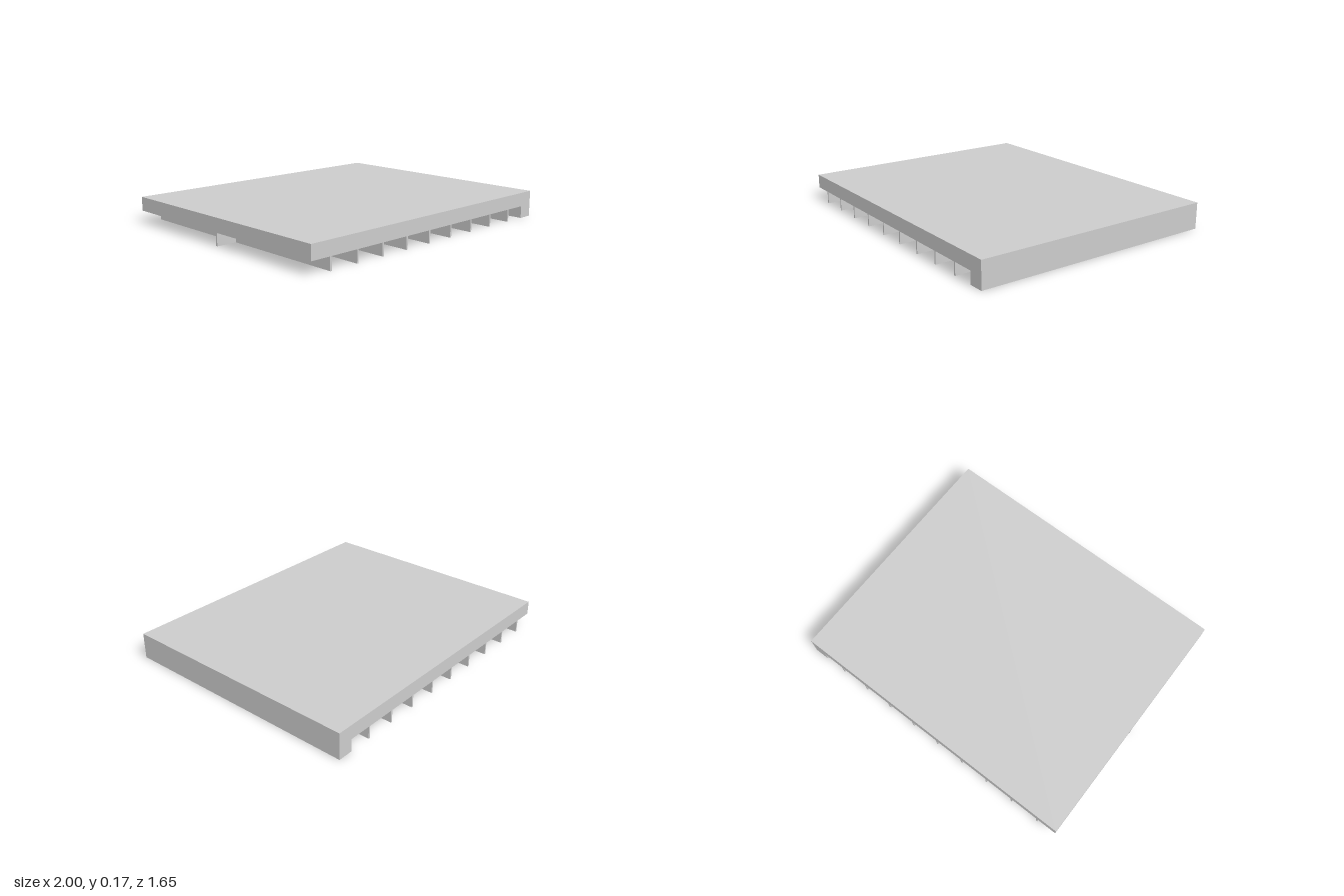
import * as THREE from 'three';

export function createModel() {
  const model = new THREE.Group();
  model.name = 'ribbedDeck';
  const material = new THREE.MeshStandardMaterial({ color: 0xcccccc, flatShading: true });

  const depth = 1.65, height = 0.173, ribHeight = 0.081, ribWidth = 0.011;
  const beamInner = 0.9;

  // Box given by its extents
  function addBox(name, x0, x1, y0, y1, z0, z1) {
    const mesh = new THREE.Mesh(new THREE.BoxGeometry(x1 - x0, y1 - y0, z1 - z0), material);
    mesh.position.set((x0 + x1) / 2, (y0 + y1) / 2, (z0 + z1) / 2);
    mesh.name = name;
    model.add(mesh);
  }

  // Slab and the deep edge beam, as one L-shaped section run front to back
  const section = new THREE.Shape([
    [-1, height], [-1, ribHeight], [beamInner, ribHeight],
    [beamInner, 0], [1, 0], [1, height],
  ].map(([x, y]) => new THREE.Vector2(x, y)));
  const slabGeometry = new THREE.ExtrudeGeometry(section, { depth, bevelEnabled: false });
  slabGeometry.translate(0, 0, -depth / 2);
  const slab = new THREE.Mesh(slabGeometry, material);
  slab.name = 'slabWithEdgeBeam';
  model.add(slab);

  // Thin ribs under the slab
  for (let i = 0; i < 9; i++) {
    const x = -0.86 + i * 0.201;
    addBox(`rib${i + 1}`, x - ribWidth / 2, x + ribWidth / 2, 0, ribHeight, -depth / 2, depth / 2);
  }

  // Single cross rib through the middle, ending at the beam
  addBox('crossRib', -1, beamInner, 0, ribHeight, -ribWidth / 2, ribWidth / 2);

  return model;
}
